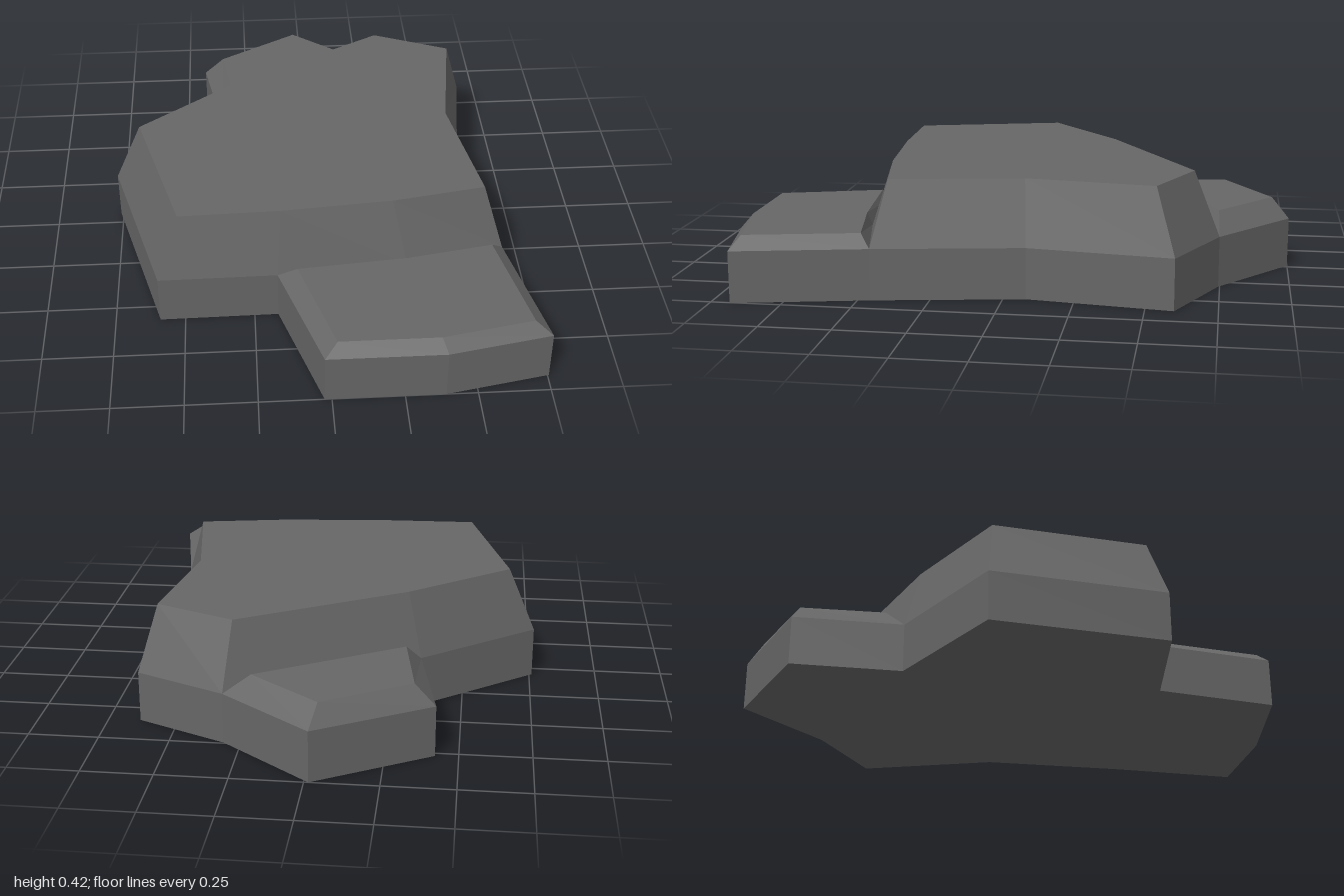
import * as THREE from 'three';

const BASE = 0.185; // height where every slab's bevel begins

// Faceted slab: vertical wall, bevel, flat top. Outlines run clockwise from above as [x, z].
// Walls listed in joined adjoin another slab and are left open.
function slab(name, material, lower, upper, height, joined) {
  const positions = [];
  const tri = (...corners) => corners.forEach((c) => positions.push(...c));
  const at = (p, y) => [p[0], y, p[1]];
  const ring = (a, b, y0, y1, i) => {
    const j = (i + 1) % a.length;
    const p = at(a[i], y0), q = at(b[i], y1), r = at(b[j], y1), s = at(a[j], y0);
    tri(p, q, r);
    tri(p, r, s);
  };
  lower.forEach((_, i) => {
    if (!joined.includes(i)) ring(lower, lower, 0, BASE, i);
    ring(lower, upper, BASE, height, i);
  });

  const cap = (outline, y, up) => {
    const points = outline.map((p) => new THREE.Vector2(...p));
    for (const [i, j, k] of THREE.ShapeUtils.triangulateShape(points, [])) {
      const facesUp = THREE.ShapeUtils.area([points[i], points[j], points[k]]) < 0;
      const order = facesUp === up ? [i, j, k] : [i, k, j];
      tri(...order.map((n) => at(outline[n], y)));
    }
  };
  cap(upper, height, true);
  cap(lower, 0, false);

  const geometry = new THREE.BufferGeometry();
  geometry.setAttribute('position', new THREE.Float32BufferAttribute(positions, 3));
  geometry.computeVertexNormals();
  const mesh = new THREE.Mesh(geometry, material);
  mesh.name = name;
  return mesh;
}

export function createModel() {
  const group = new THREE.Group();
  group.name = 'rockSlabs';
  const stone = new THREE.MeshStandardMaterial({ color: 0x666666, flatShading: true });
  stone.name = 'grey stone';

  // Corners shared between neighbouring slabs
  const backLeft = [-0.35, -0.37], backRight = [0.31, -0.745];
  const frontRight = [0.655, 0.455], frontMid = [0.3, 0.53], frontLeft = [-0.165, 0.565];

  // Tall central slab
  group.add(slab('mainSlab', stone,
    [[-0.76, -0.055], backLeft, backRight, [0.635, -0.6], [0.565, -0.08],
      frontRight, frontMid, frontLeft, [-0.59, 0.57]],
    [[-0.66, -0.045], [-0.3, -0.32], [0.285, -0.65], [0.57, -0.53], [0.505, -0.07],
      [0.585, 0.4], [0.25, 0.46], [-0.15, 0.495], [-0.51, 0.505]],
    0.42, [1, 5, 6]));

  // Low slab behind
  group.add(slab('backSlab', stone,
    [backLeft, [-0.42, -0.77], [-0.015, -1], backRight],
    [[-0.3, -0.445], [-0.345, -0.755], [-0.04, -0.935], [0.21, -0.74]],
    0.26, [3]));

  // Low slab in front
  group.add(slab('frontSlab', stone,
    [frontRight, [0.755, 0.93], [0.39, 1], [-0.025, 1], frontLeft, frontMid],
    [[0.61, 0.495], [0.695, 0.9], [0.37, 0.963], [0.02, 0.963], [-0.095, 0.587], [0.3, 0.55]],
    0.23, [4, 5]));

  return group;
}
